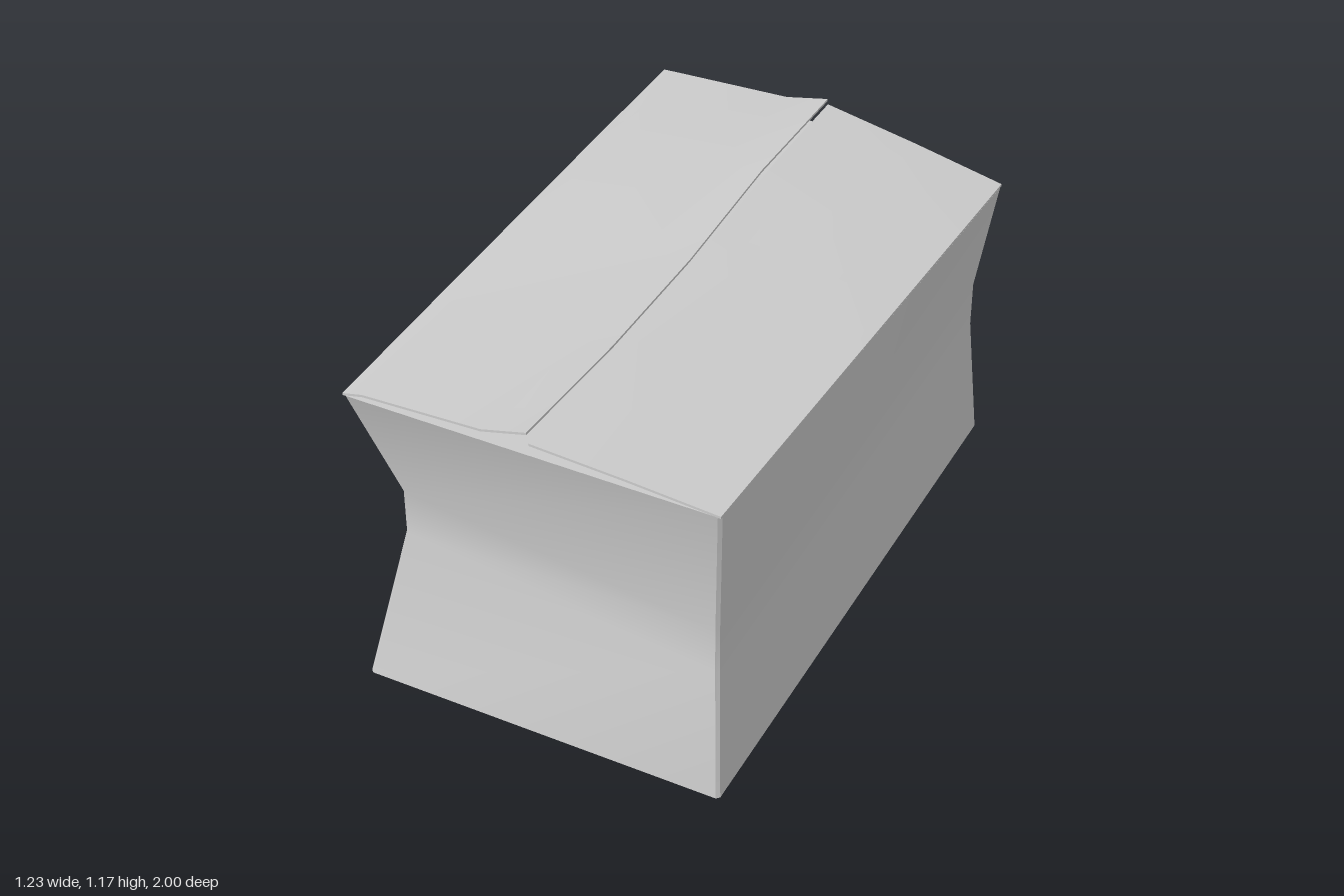
import * as THREE from 'three';
import { toCreasedNormals } from 'three/addons/utils/BufferGeometryUtils.js';

// Skins closed rings of equal length, closing both ends with strips.
// Rings run counter-clockwise when seen from the last ring's side.
function loft(rings) {
  const n = rings[0].length;
  const last = (rings.length - 1) * n;
  const index = [];
  const quad = (a, b, c, d) => index.push(a, b, c, a, c, d);
  for (let k = 0; k < rings.length - 1; k++) {
    for (let i = 0; i < n; i++) {
      const j = (i + 1) % n;
      quad(k * n + i, k * n + j, (k + 1) * n + j, (k + 1) * n + i);
    }
  }
  for (let i = 0; i < n / 2 - 1; i++) {
    const [a, b, c, d] = [i, i + 1, n - 2 - i, n - 1 - i];
    quad(d, c, b, a);
    quad(last + a, last + b, last + c, last + d);
  }
  const geometry = new THREE.BufferGeometry();
  geometry.setAttribute('position', new THREE.Float32BufferAttribute(rings.flat(2), 3));
  geometry.setIndex(index);
  return toCreasedNormals(geometry, 0.6);
}

// One level of the carton: four [x, y, z] corners, each cut by a small chamfer
function chamferedRing(corners, c = 0.01) {
  return corners.flatMap(([x, y, z]) => {
    const sx = Math.sign(x), sz = Math.sign(z);
    const alongX = [x - sx * c, y, z];
    const alongZ = [x, y, z - sz * c];
    return sx * sz < 0 ? [alongZ, alongX] : [alongX, alongZ];
  });
}

// A bent board: rows run from back to front, each { z, pts: [[x, y], ...] } with x rising
function board(rows, thickness = 0.008) {
  return loft(rows.map(({ z, pts }) => [
    ...pts.map(([x, y]) => [x, y - thickness, z]),
    ...pts.map(([x, y]) => [x, y, z]).reverse(),
  ]));
}

export function createModel() {
  const group = new THREE.Group();
  const material = new THREE.MeshStandardMaterial({ color: 0xcccccc, side: THREE.DoubleSide });
  const add = (name, geometry) => {
    const mesh = new THREE.Mesh(geometry, material);
    mesh.name = name;
    group.add(mesh);
  };

  // Carton body with a squeezed waist; corners go front -x, front +x, back +x, back -x
  const flat = (y, inset) => [
    [-0.617 + inset, y, 1 - inset], [0.59 - inset, y, 1 - inset],
    [0.59 - inset, y, -1 + inset], [-0.617 + inset, y, -1 + inset],
  ];
  const waist = (y) => [[-0.56, y, 0.83], [0.563, y, 0.955], [0.563, y, -0.95], [-0.59, y, -0.95]];
  const rim = [[-0.617, 1.093, 1], [0.59, 1.093, 1], [0.615, 1.005, -0.99], [-0.617, 1.096, -1]];
  const levels = [flat(0, 0.008), flat(0.008, 0), waist(0.47), waist(0.63), rim];
  add('cartonBody', loft(levels.map((corners) => chamferedRing(corners))));

  // Buckled flap on the -x side: heights at the hinge, two creases and the free edge
  const flapX = [-0.617, -0.55, -0.16, -0.012];
  const rightRows = [
    [-1, 1.102, 1.105, 1.12, 1.153],
    [-0.5, 1.104, 1.138, 1.154, 1.164],
    [0, 1.103, 1.12, 1.128, 1.132],
    [0.5, 1.102, 1.118, 1.128, 1.136],
    [1, 1.1, 1.116, 1.132, 1.172],
  ];
  add('rightFlap', board(rightRows.map(([z, ...ys]) => ({ z, pts: ys.map((y, i) => [flapX[i], y]) }))));

  // Flap on the +x side, nearly straight from the sloping hinge to the free edge
  const leftRows = [[-0.99, 1.14], [-0.6, 1.147], [0, 1.122], [0.5, 1.13], [1, 1.136]];
  add('leftFlap', board(leftRows.map(([z, edgeY]) => {
    const t = (z + 1) / 2;
    const hinge = [0.615 - 0.025 * t, 1.011 + 0.088 * t];
    return { z, pts: [[-0.006, edgeY], [hinge[0] / 2, (edgeY + hinge[1]) / 2 + 0.003], hinge] };
  })));

  return group;
}
